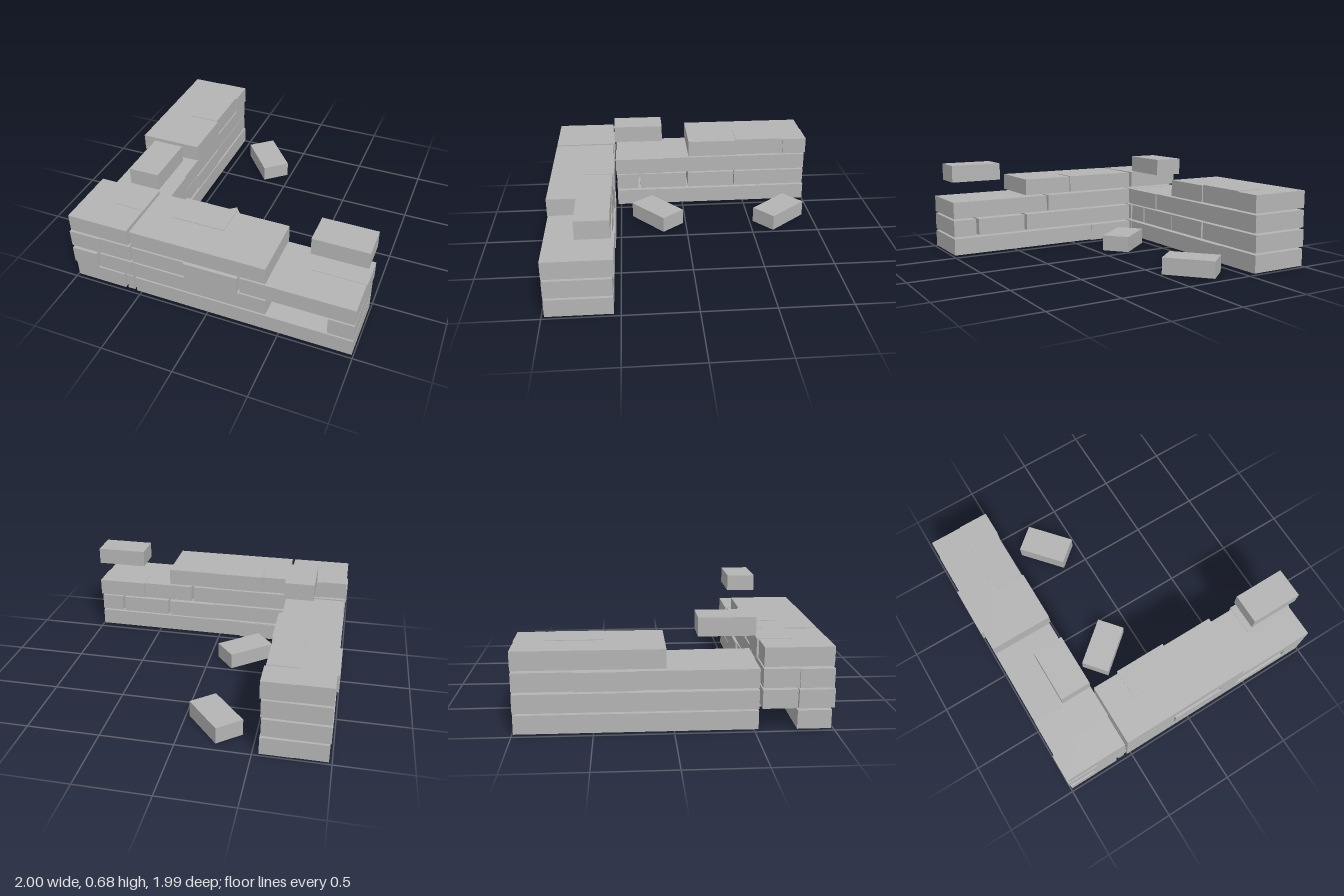
import * as THREE from 'three';

export function createModel() {
  const group = new THREE.Group();
  const stone = new THREE.MeshStandardMaterial({ color: 0xb4b4b4 });
  stone.name = 'grey stone';
  const height = 0.122, rise = 0.136, base = 0.009;
  const long = 0.37, short = 0.215;
  const outer = 0.98, inner = 0.545;

  // A block of a given footprint, resting on a course
  function block(name, course, x, z, width, depth, lift = 0) {
    const mesh = new THREE.Mesh(new THREE.BoxGeometry(width, height, depth), stone);
    mesh.position.set(x, base + course * rise + height / 2 + lift, z);
    mesh.name = name;
    group.add(mesh);
  }

  // Full-thickness runs of each arm, and single bricks laid along x or along z
  const frontRun = (course, x0, x1) =>
    block('frontRun', course, (x0 + x1) / 2, (outer + inner) / 2, x1 - x0, outer - inner);
  const sideRun = (course, z0, z1) =>
    block('sideRun', course, -(outer + inner) / 2, (z0 + z1) / 2, outer - inner, z1 - z0);
  const brickX = (course, x, z, lift = 0.003) => block('frontBrick', course, x, z, long, short, lift);
  const brickZ = (course, x, z, lift = 0.003) => block('sideBrick', course, x, z, short, long, lift);

  // Lowest course, with an open corner
  frontRun(0, -0.53, 0.99);
  sideRun(0, -0.99, 0.525);
  brickX(0, -0.803, 0.873, 0);
  block('cornerSliver', 0, -0.575, 0.76, 0.05, 0.43);
  brickX(0, -0.35, 0.648, -0.004);
  brickZ(0, -0.652, -0.812);

  // Second course, with gaps between the bricks
  frontRun(1, -0.53, 0.41);
  frontRun(1, 0.82, 0.99);
  brickX(1, 0.228, 0.638);
  brickX(1, 0.615, 0.648, 0);
  block('cornerBrick', 1, -0.897, 0.883, 0.185, 0.225);
  block('cornerBrick', 1, -0.667, 0.873, 0.255, short);
  block('cornerBrick', 1, -0.767, 0.655, 0.435, 0.22);
  block('outerSideRow', 1, -0.873, -0.233, 0.225, 1.515);
  block('sideBrick', 1, -0.658, 0.44, short, 0.17);
  brickZ(1, -0.658, 0.152, 0);
  brickZ(1, -0.65, -0.232);
  block('sideBrick', 1, -0.658, -0.708, short, 0.565);

  // Third course
  frontRun(2, -0.985, -0.545);
  frontRun(2, -0.53, 0.22);
  frontRun(2, 0.235, 0.99);
  sideRun(2, -0.99, 0.525);
  block('cornerBrick', 2, -0.883, 0.878, 0.225, short);
  brickX(2, 0.038, 0.887);
  brickX(2, 0.81, 0.638);
  brickZ(2, -0.643, 0.345, 0);
  brickZ(2, -0.893, -0.428);

  // Fourth course, broken short on both arms
  frontRun(3, -0.985, -0.55);
  frontRun(3, -0.53, 0.41);
  sideRun(3, -0.99, -0.05);
  block('cornerBrick', 3, -0.67, 0.643, 0.25, 0.225, 0.003);
  brickX(3, -0.152, 0.638, 0.004);
  brickZ(3, -0.643, -0.24, 0);
  brickZ(3, -0.653, -0.615, 0.004);
  block('sideBrick', 3, -0.643, -0.902, short, 0.185);

  // Two raised top bricks
  brickX(4, 0.808, 0.65, 0);
  brickZ(4, -0.655, 0.345, 0);

  // Fallen bricks on the ground inside the angle
  function fallenBrick(x, z, turn) {
    const brick = new THREE.Mesh(new THREE.BoxGeometry(0.36, 0.117, 0.205), stone);
    brick.position.set(x, 0.0585, z);
    brick.rotation.y = turn;
    brick.name = 'fallenBrick';
    group.add(brick);
  }
  fallenBrick(-0.22, -0.73, -0.866);
  fallenBrick(-0.265, 0.215, 0.69);
  return group;
}
